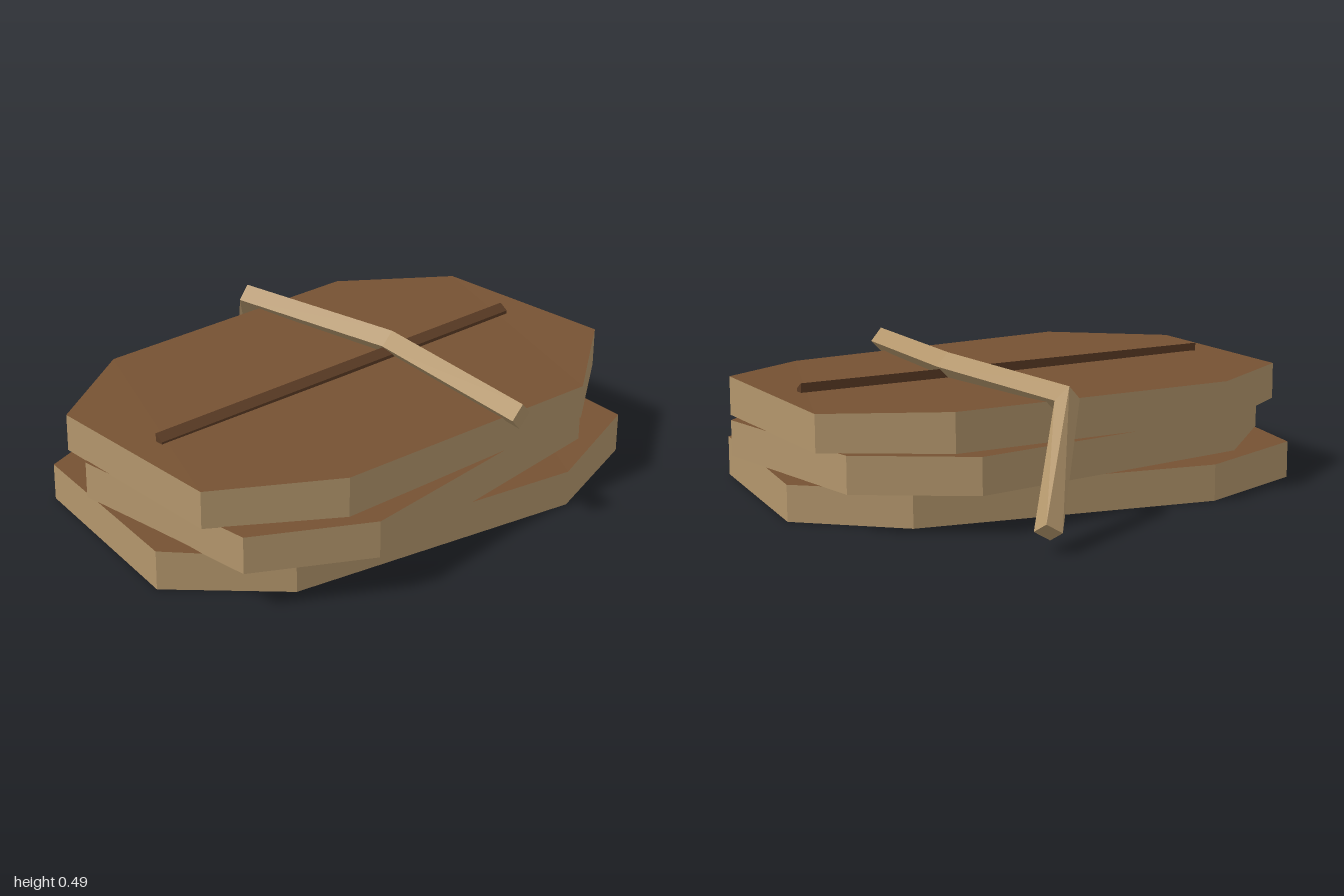
import * as THREE from 'three';

const material = (name, color) => {
  const m = new THREE.MeshStandardMaterial({ color, side: THREE.DoubleSide });
  m.name = name;
  return m;
};
const wood = material('tan wood', 0xb3966c);
const brown = material('brown face', 0x765233);
const darkBrown = material('dark brown', 0x5b3c25);

// Flat-shaded mesh from four-cornered faces
function quadMesh(name, mat, quads) {
  const verts = quads.flatMap(([a, b, c, d]) => [...a, ...b, ...c, ...a, ...c, ...d]);
  const geo = new THREE.BufferGeometry();
  geo.setAttribute('position', new THREE.Float32BufferAttribute(verts, 3));
  geo.computeVertexNormals();
  const mesh = new THREE.Mesh(geo, mat);
  mesh.name = name;
  return mesh;
}

// Eight-sided hollow slab, open below: corners are [x, z, top height]
function slab(name, base, corners) {
  const group = new THREE.Group();
  group.name = name;

  const shape = new THREE.Shape(corners.map(([x, z]) => new THREE.Vector2(x, -z)));
  const flat = new THREE.ShapeGeometry(shape).rotateX(-Math.PI / 2).toNonIndexed();
  const p = flat.attributes.position;
  for (let i = 0; i < p.count; i++) {
    const corner = corners.find((c) => Math.hypot(c[0] - p.getX(i), c[1] - p.getZ(i)) < 0.001);
    p.setY(i, corner[2]);
  }
  flat.computeVertexNormals();
  const top = new THREE.Mesh(flat, brown);
  top.name = name + 'Top';

  const walls = corners.map(([x, z, y], i) => {
    const [x2, z2, y2] = corners[(i + 1) % corners.length];
    return [[x, base, z], [x2, base, z2], [x2, y2, z2], [x, y, z]];
  });
  group.add(top, quadMesh(name + 'Walls', wood, walls));
  return group;
}

// Bent square bar on its edge, from rings of centre, side and up vectors
function bentBar(name, rings) {
  const loops = rings.map(([centre, side, up]) => {
    const at = (s, u) => centre.map((c, k) => c + s * side[k] + u * up[k]);
    return [at(1, 0), at(0, 1), at(-1, 0), at(0, -1)];
  });
  const quads = [loops[0], loops[loops.length - 1].slice().reverse()];
  for (let i = 0; i < loops.length - 1; i++) {
    for (let j = 0; j < 4; j++) {
      const k = (j + 1) % 4;
      quads.push([loops[i][j], loops[i + 1][j], loops[i + 1][k], loops[i][k]]);
    }
  }
  return quadMesh(name, wood, quads);
}

export function createModel() {
  const group = new THREE.Group();
  group.name = 'stackedSlabs';

  // Three slabs, each turned a little differently
  group.add(slab('bottomSlab', 0, [
    [-1, 0.36, 0.143], [-0.67, 0.68, 0.128], [0.44, 0.87, 0.13], [0.9, 0.71, 0.146],
    [0.998, -0.05, 0.13], [0.67, -0.35, 0.133], [-0.43, -0.545, 0.132], [-0.875, -0.38, 0.135],
  ]));
  group.add(slab('middleSlab', 0.137, [
    [-0.875, 0.655, 0.27], [-0.477, 0.87, 0.27], [0.655, 0.73, 0.264], [1, 0.43, 0.268],
    [0.895, -0.31, 0.27], [0.515, -0.553, 0.27], [-0.61, -0.41, 0.268], [-0.935, -0.1, 0.27],
  ]));
  group.add(slab('topSlab', 0.268, [
    [-0.935, 0.52, 0.402], [-0.53, 0.78, 0.412], [0.585, 0.793, 0.39], [0.965, 0.52, 0.41],
    [0.965, -0.22, 0.402], [0.57, -0.47, 0.412], [-0.53, -0.468, 0.41], [-0.92, -0.22, 0.402],
  ]));

  // Thin wedge lying across the top, sloping to the front
  const wedge = new THREE.Shape([
    new THREE.Vector2(-0.18, 0.4), new THREE.Vector2(-0.147, 0.4),
    new THREE.Vector2(-0.147, 0.434), new THREE.Vector2(-0.18, 0.412),
  ]);
  const ridgeGeo = new THREE.ExtrudeGeometry(wedge, { depth: 1.67, bevelEnabled: false });
  ridgeGeo.rotateY(Math.PI / 2).translate(-0.82, 0, 0);
  const ridge = new THREE.Mesh(ridgeGeo, darkBrown);
  ridge.name = 'crossRidge';
  group.add(ridge);

  // Bar over the top, dropping down behind
  group.add(bentBar('bentBar', [
    [[0.183, 0.427, 0.865], [0.048, 0, -0.005], [0, 0.048, 0.005]],
    [[0.264, 0.443, 0.155], [0.048, 0, 0], [0, 0.048, 0]],
    [[0.185, 0.428, -0.545], [0.046, 0, 0.006], [0, 0.048, -0.014]],
    [[0.434, 0.068, -0.84], [0.036, 0, 0.031], [0.022, 0.035, -0.025]],
  ]));
  return group;
}
